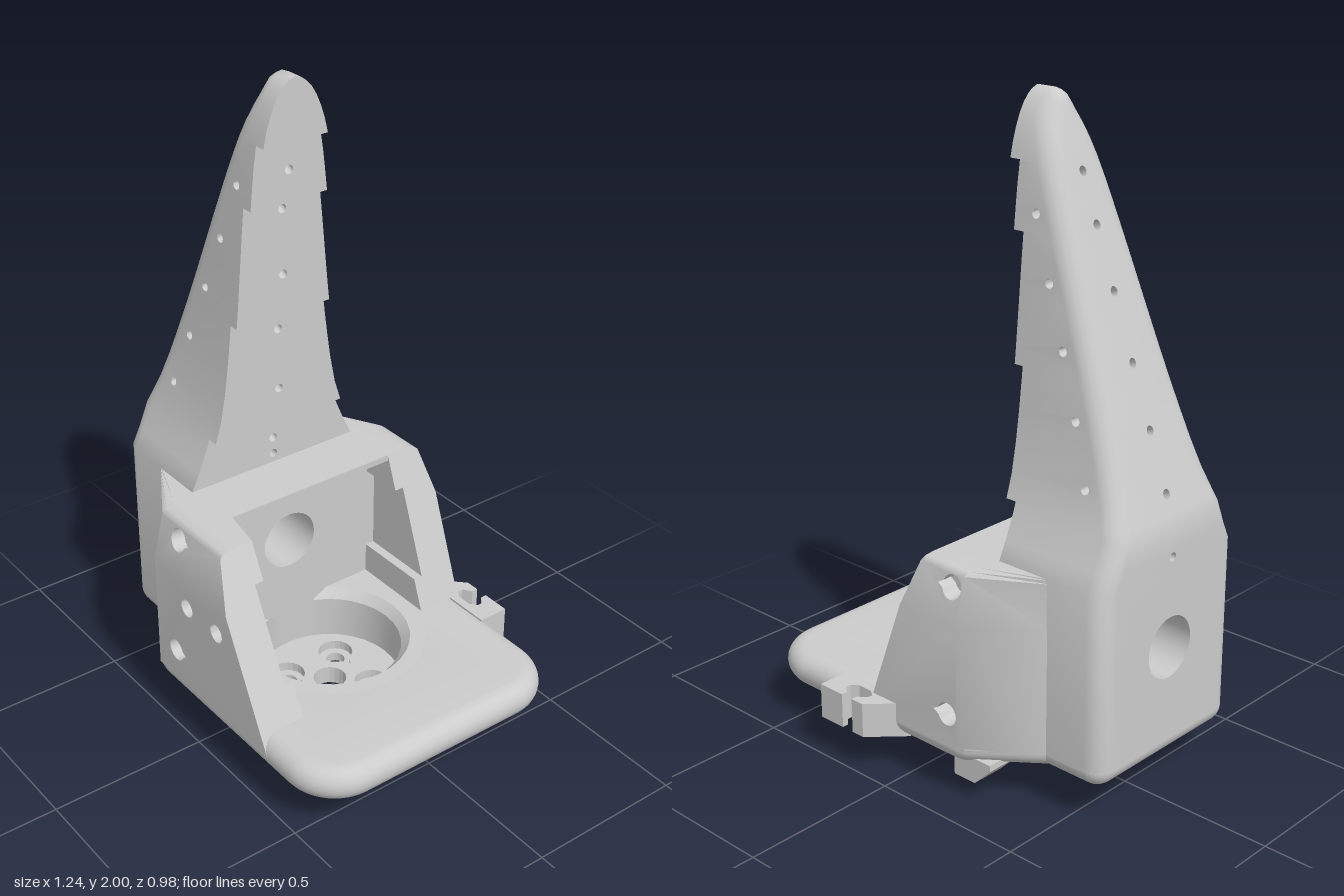
import * as THREE from 'three';
import { toCreasedNormals } from 'three/addons/utils/BufferGeometryUtils.js';

const V = (x, y, z) => new THREE.Vector3(x, y, z);
const P = (x, y) => new THREE.Vector2(x, y);
const grey = new THREE.MeshStandardMaterial({ color: 0xcccccc });
const greyDouble = new THREE.MeshStandardMaterial({ color: 0xcccccc, side: THREE.DoubleSide });

// Adds a triangle turned so that it faces the direction "out"
function tri(acc, a, b, c, out) {
  const n = b.clone().sub(a).cross(c.clone().sub(a));
  for (const p of n.dot(out) < 0 ? [a, c, b] : [a, b, c]) acc.push(p.x, p.y, p.z);
}
function quad(acc, a, b, c, d, out) {
  tri(acc, a, b, c, out);
  tri(acc, a, c, d, out);
}
// Flat outline with holes, mapped into space
function sheet(acc, poly, holes, map, out) {
  const all = [poly, ...holes].flat().map((p) => map(p.x, p.y));
  for (const f of THREE.ShapeUtils.triangulateShape(poly, holes)) tri(acc, all[f[0]], all[f[1]], all[f[2]], out);
}
// Tube wall between two matching loops, facing its own axis
function liner(acc, A, B) {
  const mid = (L) => L.reduce((s, p) => s.add(p), V(0, 0, 0)).divideScalar(L.length);
  const c = mid(A).add(mid(B)).multiplyScalar(0.5);
  A.forEach((a, i) => {
    const j = (i + 1) % A.length;
    quad(acc, a, A[j], B[j], B[i], c.clone().sub(a.clone().add(B[j]).multiplyScalar(0.5)));
  });
}
// Round hole outline; with "tip" it becomes a teardrop pointing to +x
function ring(x, y, r, n = 12, tip = 0) {
  return Array.from({ length: n }, (_, i) => {
    const t = (i / n) * Math.PI * 2;
    return P(x + (i === 0 && tip ? tip : r * Math.cos(t)), y + r * Math.sin(t));
  });
}
function mesh(name, geo, mat = grey) {
  const m = new THREE.Mesh(geo, mat);
  m.name = name;
  return m;
}
function built(name, acc, crease = 0.75) {
  const g = new THREE.BufferGeometry();
  g.setAttribute('position', new THREE.Float32BufferAttribute(acc, 3));
  return mesh(name, toCreasedNormals(g, crease));
}
// Plan outline (x, -z) raised to a slab starting at height y
function slab(name, shape, y, depth, bevel = 0) {
  const g = new THREE.ExtrudeGeometry(shape, {
    depth, bevelEnabled: bevel > 0, bevelSize: bevel, bevelThickness: bevel,
    bevelOffset: -bevel, bevelSegments: 6, curveSegments: 12,
  });
  g.rotateX(-Math.PI / 2).translate(0, y + bevel, 0);
  return mesh(name, bevel ? toCreasedNormals(g, 0.6) : g);
}
const lookup = (pts, y) => {
  let i = 1;
  while (i < pts.length - 1 && pts[i].x < y) i++;
  const a = pts[i - 1], b = pts[i];
  return a.y + (b.y - a.y) * THREE.MathUtils.clamp((y - a.x) / (b.x - a.x), 0, 1);
};

// Tall tapering finger with stepped front and cable holes
function finger() {
  const acc = [];
  const rows = [0.17, 0.72, 0.777, 0.85, 0.88, 0.95, 1.04, 1.122, 1.17, 1.225, 1.255, 1.3025, 1.355, 1.42, 1.45,
    1.485, 1.55, 1.61, 1.625, 1.66, 1.7, 1.75, 1.815, 1.86, 1.9, 1.935, 1.96, 1.98, 1.992, 2];
  const curve = new THREE.SplineCurve([P(0.72, 0.3), P(0.8, 0.262), P(0.88, 0.232), P(1, 0.2), P(1.25, 0.167), P(1.6, 0.135),
    P(1.8, 0.112), P(1.9, 0.086), P(1.96, 0.056), P(1.99, 0.026), P(2, 0.004)]).getPoints(120);
  const half = (y) => (y <= 0.72 ? 0.3 : lookup(curve, y));
  const backLine = [P(0.17, -0.62), P(0.85, -0.62), P(1.95, -0.21), P(1.985, -0.195), P(2, -0.17)];
  const back = (y) => lookup(backLine, y);
  const steps = [[0.88, -0.24], [1.255, -0.205], [1.625, -0.175], [1.815, -0.14], [2, -0.105]];
  const front = (y) => steps.find((s) => y < s[0])?.[1] ?? -0.105;
  const rad = (y) => Math.min(0.06, half(y) * 0.9);
  const R = 0.014;
  const sideHoles = [[-0.47, 0.97], [-0.41, 1.145], [-0.345, 1.325], [-0.28, 1.5], [-0.215, 1.68]];
  const cableHoles = [[0.75, 0.75], [0.93, 0.805], [1.1, 0.995], [1.28, 1.195], [1.47, 1.385], [1.645, 1.59], [1.785, 1.72]];

  for (let i = 0; i < rows.length - 1; i++) {
    const a = rows[i], b = rows[i + 1], f = front((a + b) / 2);
    const inBand = (y) => y > a && y < b;
    const band = (u0, u1) => [P(u0(a), a), P(u1(a), a), P(u1(b), b), P(u0(b), b)];
    // flanks and rounded rear corners
    for (const s of [1, -1]) {
      sheet(acc, band((y) => back(y) + rad(y), () => f), sideHoles.filter((h) => inBand(h[1])).map((h) => ring(h[0], h[1], R)),
        (x, y) => V(x, y, s * half(y)), V(0, 0, s));
      const corner = (y, k) => V(back(y) + rad(y) * (1 - Math.cos(k * Math.PI / 10)), y, s * (half(y) - rad(y) * (1 - Math.sin(k * Math.PI / 10))));
      for (let k = 0; k < 5; k++) quad(acc, corner(a, k), corner(a, k + 1), corner(b, k + 1), corner(b, k), V(-1, 0.2, s));
    }
    // rear face
    const inner = (y) => half(y) - rad(y);
    const rearHoles = i === 0 ? [ring(0, 0.47, 0.095, 32)] : cableHoles.filter((h) => inBand(h[0])).map((h) => ring(0, h[0], R));
    sheet(acc, band((y) => -inner(y), inner), rearHoles, (z, y) => V(back(y), y, z), V(-1, 0, 0));
    // stepped front face
    if (i > 0) sheet(acc, band((y) => -half(y), half), cableHoles.filter((h) => inBand(h[1])).map((h) => ring(0, h[1], R)),
      (z, y) => V(f, y, z), V(1, 0, 0));
  }
  for (let k = 0; k < 4; k++) {
    const [y, x] = steps[k], x2 = steps[k + 1][1], h = half(y);
    quad(acc, V(x, y, -h), V(x2, y, -h), V(x2, y, h), V(x, y, h), V(0, -1, 0));
  }
  quad(acc, V(-0.17, 2, -0.004), V(-0.105, 2, -0.004), V(-0.105, 2, 0.004), V(-0.17, 2, 0.004), V(0, 1, 0));
  // hole walls
  for (const [x, y] of sideHoles) {
    const at = (s) => ring(x, y, R).map((p) => V(p.x, p.y, s * half(p.y)));
    liner(acc, at(1), at(-1));
  }
  for (const [yb, yf] of cableHoles)
    liner(acc, ring(0, yb, R).map((p) => V(back(p.y), p.y, p.x)), ring(0, yf, R).map((p) => V(front(p.y), p.y, p.x)));
  return built('finger', acc);
}

// One cheek of the motor bay: s is the side, top and slope give its leaning front edge
function cheek(name, s, top, slope, pockets, through) {
  const acc = [];
  const edge = (y) => top + (0.72 - y) * slope;
  const insets = [P(0.17, 0), P(0.56, 0), P(0.705, 0.035), P(0.716, 0.05), P(0.72, 0.08)];
  const outer = (y) => 0.455 - lookup(insets, y);
  const drop = ([x, y, r, tip]) => ring(x, y, r, 20, tip);
  const within = (a, b) => (h) => h[1] > a && h[1] < b;
  // outer skin
  for (let i = 0; i < insets.length - 1; i++) {
    const a = insets[i].x, b = insets[i + 1].x;
    sheet(acc, [P(-0.22, a), P(edge(a), a), P(edge(b), b), P(-0.22, b)], [...pockets, ...through].filter(within(a, b)).map(drop),
      (x, y) => V(x, y, s * outer(y)), V(0, 0, s));
    quad(acc, V(-0.43, a, s * 0.293), V(-0.22, a, s * outer(a)), V(-0.22, b, s * outer(b)), V(-0.43, b, s * 0.293), V(-1, 0, s));
  }
  // inner skin with a shallow slot, and the leaning edge
  const inner = [[0.17, 0.33, 0.305], [0.33, 0.61, 0.335], [0.61, 0.72, 0.305]];
  for (const [a, b, w] of inner) {
    sheet(acc, [P(-0.2, a), P(edge(a), a), P(edge(b), b), P(-0.2, b)], through.filter(within(a, b)).map(drop),
      (x, y) => V(x, y, s * w), V(0, 0, -s));
    const cuts = [a, ...insets.map((p) => p.x).filter((y) => y > a && y < b), b];
    for (let i = 0; i < cuts.length - 1; i++) {
      const [c, d] = [cuts[i], cuts[i + 1]];
      quad(acc, V(edge(c), c, s * w), V(edge(c), c, s * outer(c)), V(edge(d), d, s * outer(d)), V(edge(d), d, s * w), V(1, 0.4, 0));
    }
  }
  for (const [y, up] of [[0.33, 1], [0.61, -1]])
    quad(acc, V(-0.2, y, s * 0.305), V(edge(y), y, s * 0.305), V(edge(y), y, s * 0.335), V(-0.2, y, s * 0.335), V(0, up, 0));
  // top
  quad(acc, V(-0.22, 0.72, s * 0.25), V(top, 0.72, s * 0.305), V(top, 0.72, s * outer(0.72)), V(-0.22, 0.72, s * outer(0.72)), V(0, 1, 0));
  quad(acc, V(-0.43, 0.72, s * 0.25), V(-0.22, 0.72, s * 0.25), V(-0.22, 0.72, s * outer(0.72)), V(-0.43, 0.72, s * 0.293), V(0, 1, 0));
  // screw pockets and through holes
  for (const h of [...pockets, ...through]) {
    const deep = through.includes(h) ? 0.335 : 0.38;
    liner(acc, drop(h).map((p) => V(p.x, p.y, s * outer(p.y))), drop(h).map((p) => V(p.x, p.y, s * deep)));
    if (pockets.includes(h)) sheet(acc, drop(h), [], (x, y) => V(x, y, s * deep), V(0, 0, s));
  }
  return built(name, acc);
}

export function createModel() {
  const model = new THREE.Group();
  model.name = 'fingerMount';
  const body = new THREE.Group();
  body.name = 'body';
  body.position.z = 0.035;
  model.add(body);
  body.add(finger());
  body.add(cheek('leftCheek', 1, 0.08, 0.5, [[-0.12, 0.665, 0.036, 0.054], [-0.12, 0.275, 0.036, 0.054], [-0.05, 0.47, 0.03, 0]], [[0.105, 0.47, 0.03, 0]]));
  body.add(cheek('rightCheek', -1, -0.055, 0.37, [[-0.18, 0.665, 0.036, 0.054], [-0.18, 0.275, 0.036, 0.054]], []));

  // Rear wall of the bay with the cable bore, and its roof
  const acc = [];
  const X = -0.16, bore = ring(0, 0.47, 0.095, 32);
  sheet(acc, [P(-0.34, 0.2), P(0.34, 0.2), P(0.34, 0.71), P(-0.34, 0.71)], [bore], (z, y) => V(X, y, z), V(1, 0, 0));
  liner(acc, bore.map((p) => V(-0.62, p.y, p.x)), bore.map((p) => V(X, p.y, p.x)));
  body.add(built('bayRearWall', acc));
  const roof = mesh('bayRoof', new THREE.BoxGeometry(0.285, 0.02, 0.62));
  roof.position.set(-0.1975, 0.71, 0);
  body.add(roof);

  // Base plate with rounded rim
  const plate = new THREE.Shape();
  plate.moveTo(-0.56, -0.3).lineTo(-0.42, -0.3).lineTo(-0.24, -0.44).quadraticCurveTo(-0.22, -0.455, -0.18, -0.455);
  plate.lineTo(0.45, -0.455).absarc(0.45, -0.285, 0.17, -Math.PI / 2, 0).absarc(0.45, 0.285, 0.17, 0, Math.PI / 2);
  plate.lineTo(-0.18, 0.455).quadraticCurveTo(-0.22, 0.455, -0.24, 0.44).lineTo(-0.42, 0.3).lineTo(-0.56, 0.3);
  plate.absarc(-0.56, 0.24, 0.06, Math.PI / 2, Math.PI).absarc(-0.56, -0.24, 0.06, Math.PI, Math.PI * 1.5);
  plate.holes.push(new THREE.Path(ring(0.047, 0, 0.23, 32)));
  body.add(slab('basePlate', plate, 0.12, 0.001, 0.0545));

  // Round hub: chamfered recess above, collar below, pierced floor
  const hub = (name, pts) => {
    const m = mesh(name, toCreasedNormals(new THREE.LatheGeometry(pts, 32), 0.4), greyDouble);
    m.position.x = 0.047;
    body.add(m);
  };
  hub('hubRecess', [P(0.225, 0.04), P(0.225, 0.2), P(0.252, 0.2302), P(0.3, 0.2302)]);
  hub('hubCollar', [P(0.3, 0.1198), P(0.227, 0.1198), P(0.227, 0)]);
  for (const [name, y, r, tip] of [['hubFloor', 0, 0.03, 0.045], ['hubCounterbores', 0.03, 0.055, 0.08]]) {
    const disc = new THREE.Shape(ring(0.047, 0, 0.2265, 32));
    disc.holes.push(new THREE.Path(ring(0.05, 0, 0.052, 20, 0.073)));
    for (const x of [-0.047, 0.143]) for (const z of [-0.095, 0.095]) disc.holes.push(new THREE.Path(ring(x, z, r, 20, tip)));
    body.add(slab(name, disc, y, 0.03));
  }

  // Notched cable clip on the right edge of the plate
  const clip = new THREE.Shape([P(0, 0.425), P(0.03, 0.455), P(0.1, 0.525), P(0.145, 0.525), P(0.145, 0.505), P(0.118, 0.485), P(0.118, 0.468),
    P(0.14, 0.452), P(0.19, 0.452), P(0.212, 0.468), P(0.212, 0.485), P(0.187, 0.505), P(0.187, 0.525), P(0.28, 0.525), P(0.28, 0.425)]);
  body.add(slab('cableClip', clip, 0.12, 0.11));

  // Small foot under the right cheek
  const foot = new THREE.ExtrudeGeometry(new THREE.Shape([P(-0.31, 0.14), P(-0.31, 0.12), P(-0.25, 0.06), P(-0.17, 0.06), P(-0.17, 0.14)]),
    { depth: 0.11, bevelEnabled: false });
  foot.translate(0, 0, -0.415);
  body.add(mesh('foot', foot));
  return model;
}
